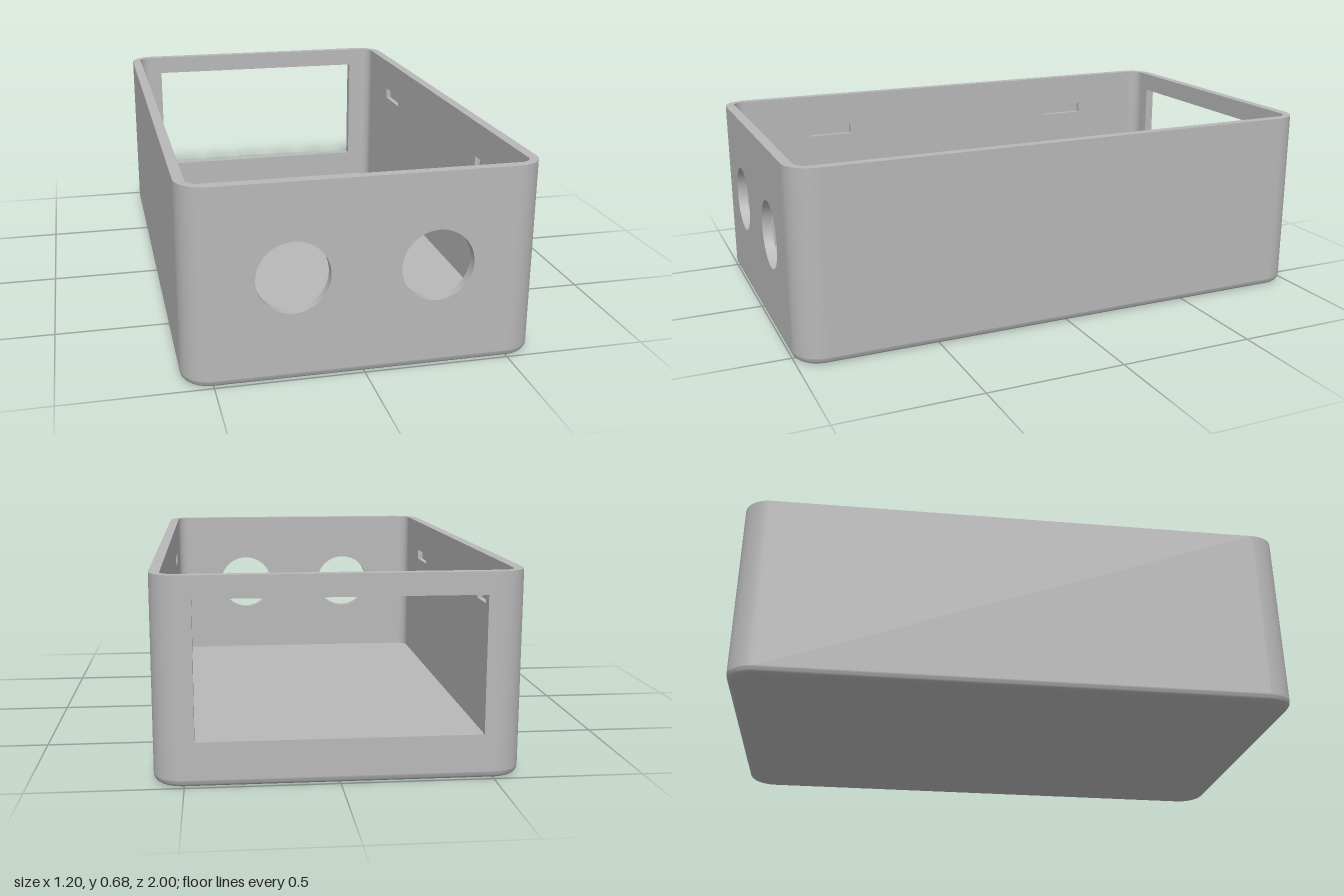
import * as THREE from 'three';
import { mergeGeometries, toCreasedNormals } from 'three/addons/utils/BufferGeometryUtils.js';

// Overall half sizes, height, wall thickness and radii
const HX = 0.6, HZ = 1, H = 0.68, T = 0.036;
const R_OUT = 0.1, R_IN = 0.045, R_BASE = 0.025;
const SEG = 14;

const grey = new THREE.MeshStandardMaterial({ color: 0xb8b8b8 });
grey.name = 'grey plastic';

// Surface through rows of points; faces look along (column step) x (row step)
function loft(rows) {
  const pos = [];
  for (let i = 0; i < rows.length - 1; i++) {
    for (let j = 0; j < rows[i].length - 1; j++) {
      const a = rows[i][j], b = rows[i][j + 1], c = rows[i + 1][j + 1], d = rows[i + 1][j];
      for (const p of [a, b, c, a, c, d]) pos.push(p.x, p.y, p.z);
    }
  }
  const g = new THREE.BufferGeometry();
  g.setAttribute('position', new THREE.Float32BufferAttribute(pos, 3));
  return toCreasedNormals(g, 0.6);
}

// Flat face with openings, looking along +z
function flat(outline, holes = []) {
  const shape = new THREE.Shape(outline);
  for (const h of holes) shape.holes.push(new THREE.Path(h));
  const g = new THREE.ShapeGeometry(shape).toNonIndexed();
  g.deleteAttribute('uv');
  return g;
}

// Quarter arc k (0..3) of a rounded rectangle lying at height y
function arc(k, hx, hz, r, y) {
  const sx = k === 0 || k === 3 ? 1 : -1, sz = k < 2 ? 1 : -1;
  return Array.from({ length: SEG + 1 }, (_, i) => {
    const a = (k + i / SEG) * Math.PI / 2;
    return new THREE.Vector3(sx * (hx - r) + r * Math.cos(a), y, sz * (hz - r) + r * Math.sin(a));
  });
}

function ring(hx, hz, r, y) {
  const pts = [0, 1, 2, 3].flatMap(k => arc(k, hx, hz, r, y));
  return [...pts, pts[0].clone()];
}

const plan = (hx, hz, r) =>
  ring(hx, hz, r, 0).slice(0, -1).map(p => new THREE.Vector2(p.x, p.z));

// Counter-clockwise opening outlines
const rect = (x0, x1, y0, y1) =>
  [[x0, y0], [x1, y0], [x1, y1], [x0, y1]].map(p => new THREE.Vector2(...p));

const circle = (cx, cy, r, n = 48) => Array.from({ length: n }, (_, i) => {
  const a = i / n * Math.PI * 2;
  return new THREE.Vector2(cx + r * Math.cos(a), cy + r * Math.sin(a));
});

// Wall facing +z at distance dist; openings go through, or are inner pockets of the given depth
function wall(name, halfSpan, dist, openings, pocket = 0) {
  const outer = flat(rect(R_OUT - halfSpan, halfSpan - R_OUT, R_BASE, H), pocket ? [] : openings);
  outer.translate(0, 0, dist);
  const span = halfSpan - T - R_IN;
  const inner = flat(rect(-span, span, T, H), openings);
  inner.rotateY(Math.PI).translate(0, 0, dist - T);
  const parts = [outer, inner];
  const zEnd = pocket ? dist - T + pocket : dist;
  for (const o of openings) {
    const loop = [...o, o[0]];
    const at = z => loop.map(p => new THREE.Vector3(p.x, p.y, z));
    parts.push(loft([at(zEnd), at(dist - T)]));
    if (pocket) parts.push(flat(o.map(p => new THREE.Vector2(-p.x, p.y))).rotateY(Math.PI).translate(0, 0, zEnd));
  }
  const mesh = new THREE.Mesh(mergeGeometries(parts), grey);
  mesh.name = name;
  return mesh;
}

export function createModel() {
  const model = new THREE.Group();
  model.name = 'enclosureBase';
  const add = (name, geometry) => {
    const mesh = new THREE.Mesh(geometry, grey);
    mesh.name = name;
    model.add(mesh);
  };

  // End walls: two round ports in front, a wide window behind
  model.add(wall('frontWall', HX, HZ, [-0.24, 0.24].map(x => circle(x, 0.36, 0.123))));
  const back = wall('backWall', HX, HZ, [rect(-0.465, 0.465, 0.15, 0.606)]);
  back.rotation.y = Math.PI;
  model.add(back);

  // Side walls with two shallow snap slots inside each
  for (const s of [1, -1]) {
    const slots = [-0.56, 0.56].map(z => rect(z - 0.09, z + 0.09, 0.508, 0.55));
    const side = wall(s > 0 ? 'leftWall' : 'rightWall', HZ, HX, slots, 0.02);
    side.rotation.y = s * Math.PI / 2;
    model.add(side);
  }

  // Rounded vertical corners, outside and inside
  for (let k = 0; k < 4; k++) {
    add('corner' + (k + 1), mergeGeometries([
      loft([arc(k, HX, HZ, R_OUT, H), arc(k, HX, HZ, R_OUT, R_BASE)]),
      loft([arc(k, HX - T, HZ - T, R_IN, T), arc(k, HX - T, HZ - T, R_IN, H)]),
    ]));
  }

  // Top rim
  add('rim', flat(plan(HX, HZ, R_OUT), [plan(HX - T, HZ - T, R_IN)])
    .rotateX(-Math.PI / 2).translate(0, H, 0));

  // Rounded bottom edge
  const rows = [];
  for (let i = 0; i <= 6; i++) {
    const a = i / 6 * Math.PI / 2, inset = R_BASE * (1 - Math.cos(a));
    rows.push(ring(HX - inset, HZ - inset, R_OUT - inset, R_BASE * (1 - Math.sin(a))));
  }
  add('bottomEdge', loft(rows));

  // Floor, upper and lower faces
  add('floor', mergeGeometries([
    flat(plan(HX - T, HZ - T, R_IN)).rotateX(-Math.PI / 2).translate(0, T, 0),
    flat(plan(HX - R_BASE, HZ - R_BASE, R_OUT - R_BASE)).rotateX(Math.PI / 2),
  ]));

  return model;
}
